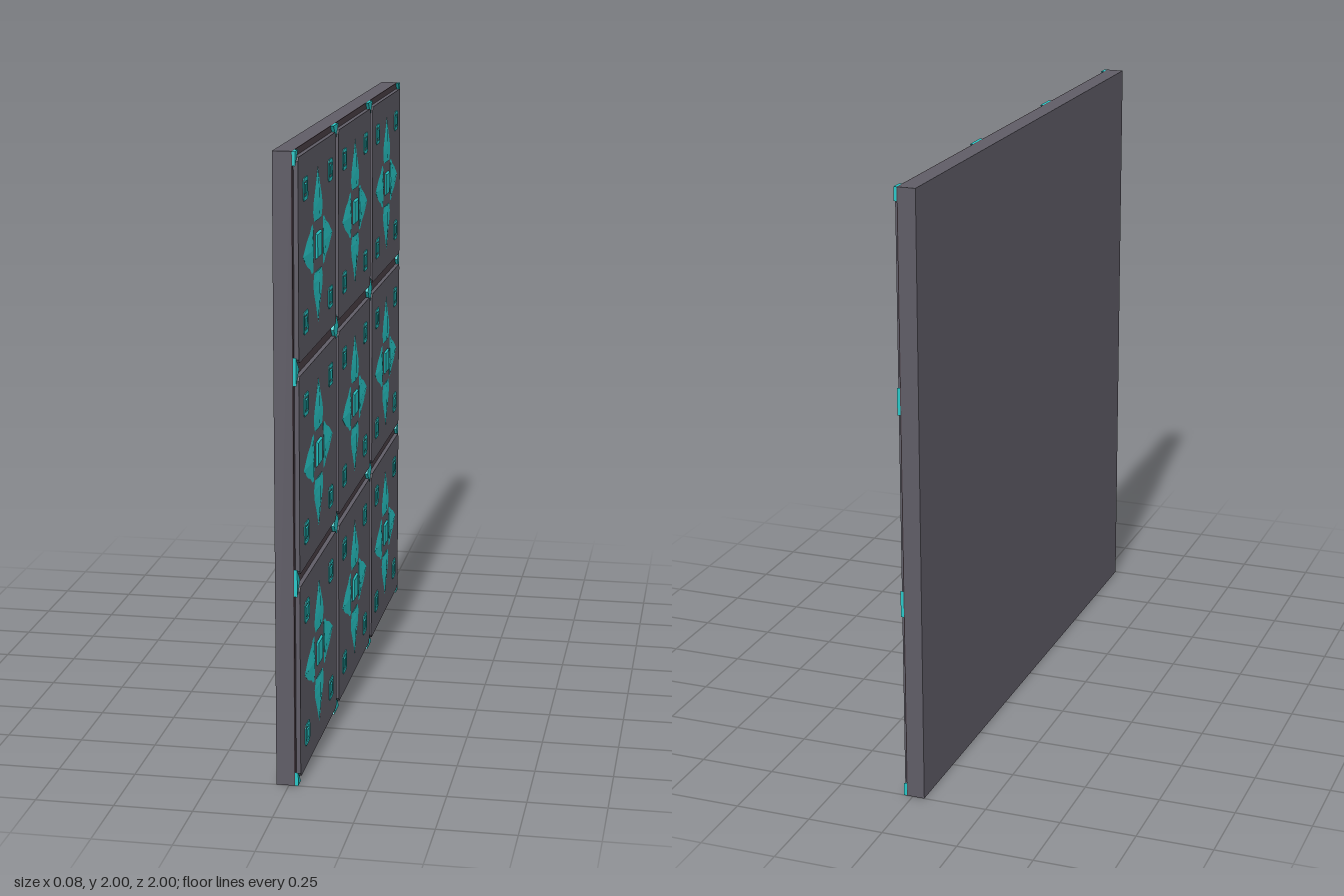
import * as THREE from 'three';

const material = (color) => new THREE.MeshStandardMaterial({ color, flatShading: true });
const PITCH = 2 / 3;      // tile spacing
const FLOOR = 0.02;       // groove floor depth
const FACE = 0.034;       // tile surface

// Polygon drawn in a tile's plane, extruded outward along +x from x0 to x1
function plate(points, x0, x1, hole) {
  const shape = new THREE.Shape(points.map(([a, b]) => new THREE.Vector2(a, b)));
  if (hole) shape.holes.push(new THREE.Path(hole.map(([a, b]) => new THREE.Vector2(a, b))));
  const g = new THREE.ExtrudeGeometry(shape, { depth: x1 - x0, bevelEnabled: false });
  return g.translate(0, 0, x0).rotateY(Math.PI / 2);
}

// Square outline with cut corners
function cutSquare(r, c) {
  return [[r, -r + c], [r, r - c], [r - c, r], [-r + c, r], [-r, r - c], [-r, -r + c], [-r + c, -r], [r - c, -r]];
}

const square = (r) => [[-r, -r], [r, -r], [r, r], [-r, r]];

// Tapered square stud
function stud(r0, r1, x0, x1) {
  const k = Math.SQRT2;
  return new THREE.CylinderGeometry(r1 * k, r0 * k, x1 - x0, 4)
    .rotateY(Math.PI / 4).rotateZ(-Math.PI / 2).translate((x0 + x1) / 2, 0, 0);
}

// Ridged leaf lofted from sections [distance, half width, ridge height]
function petal(sections, turn) {
  const pos = [], index = [];
  for (const [d, w, h] of sections) pos.push(-w, d, 0, 0, d, h, w, d, 0);
  for (let i = 0; i < sections.length - 1; i++) {
    for (let j = 0; j < 2; j++) {
      const a = i * 3 + j, b = a + 3;
      index.push(a, a + 1, b + 1, a, b + 1, b);
    }
  }
  index.push(0, 2, 1);
  const g = new THREE.BufferGeometry();
  g.setAttribute('position', new THREE.Float32BufferAttribute(pos, 3));
  g.setIndex(index);
  g.rotateZ(turn).translate(0, 0, FACE).rotateY(Math.PI / 2);
  g.computeVertexNormals();
  return g;
}

export function createModel() {
  const root = new THREE.Group();
  root.name = 'ornamentalWallPanel';
  const stone = material(0x5f5c66), grout = material(0x4c4047), teal = material(0x28c8c8);

  const add = (parent, name, geometry, mat, y = 0, z = 0) => {
    const m = new THREE.Mesh(geometry, mat);
    m.name = name;
    m.position.set(0, y, z);
    parent.add(m);
  };

  // Backing slab with a thin groove floor
  const back = -0.04, seam = FLOOR - 0.003;
  add(root, 'backingSlab', new THREE.BoxGeometry(seam - back, 2, 2).translate((seam + back) / 2, 1, 0), stone);
  add(root, 'grooveFloor', new THREE.BoxGeometry(0.003, 2, 2).translate(FLOOR - 0.0015, 1, 0), grout);

  // Shared ornament geometries
  const tile = plate(cutSquare(PITCH / 2 - 0.021, 0.012), FLOOR, FACE);
  const upright = [[0.08, 0.06, 0.003], [0.11, 0.078, 0.005], [0.14, 0.07, 0.0055], [0.19, 0.034, 0.004], [0.245, 0, 0.0005]];
  const sideways = [[0.08, 0.076, 0.003], [0.105, 0.074, 0.005], [0.13, 0.056, 0.0055], [0.18, 0.038, 0.004], [0.242, 0, 0.0005]];
  const petals = [0, 1, 2, 3].map((k) => petal(k % 2 ? sideways : upright, k * Math.PI / 2));
  const centre = stud(0.041, 0.036, FACE, 0.04);
  const ring = plate(cutSquare(0.035, 0.009), FACE, 0.037, square(0.023));
  const bead = stud(0.016, 0.014, FACE, 0.038);

  // Nine tiles, each with a four-petal flower and a ringed stud per corner
  for (let row = 0; row < 3; row++) {
    for (let col = 0; col < 3; col++) {
      const group = new THREE.Group();
      group.name = 'tile';
      group.position.set(0, (row + 0.5) * PITCH, (col - 1) * PITCH);
      root.add(group);
      add(group, 'tileBody', tile, stone);
      for (const p of petals) add(group, 'petal', p, teal);
      add(group, 'flowerCentre', centre, teal);
      for (const y of [-0.205, 0.205]) {
        for (const z of [-0.205, 0.205]) {
          add(group, 'cornerRing', ring, teal, y, z);
          add(group, 'cornerStud', bead, teal, y, z);
        }
      }
    }
  }

  // Diamonds at the groove crossings, trimmed by the panel edge
  const r = 0.044;
  for (let row = 0; row < 4; row++) {
    for (let col = 0; col < 4; col++) {
      const a = col * PITCH - 1, b = row * PITCH;
      const corners = [[a + r, b], [a, b + r], [a - r, b], [a, b - r]]
        .map(([u, v]) => [THREE.MathUtils.clamp(u, -1, 1), THREE.MathUtils.clamp(v, 0, 2)]);
      const outline = corners.filter(([u, v], i) =>
        corners.findIndex(([p, q]) => Math.hypot(p - u, q - v) < 1e-6) === i);
      add(root, 'crossingDiamond', plate(outline, FLOOR, 0.03), teal);
    }
  }
  return root;
}
